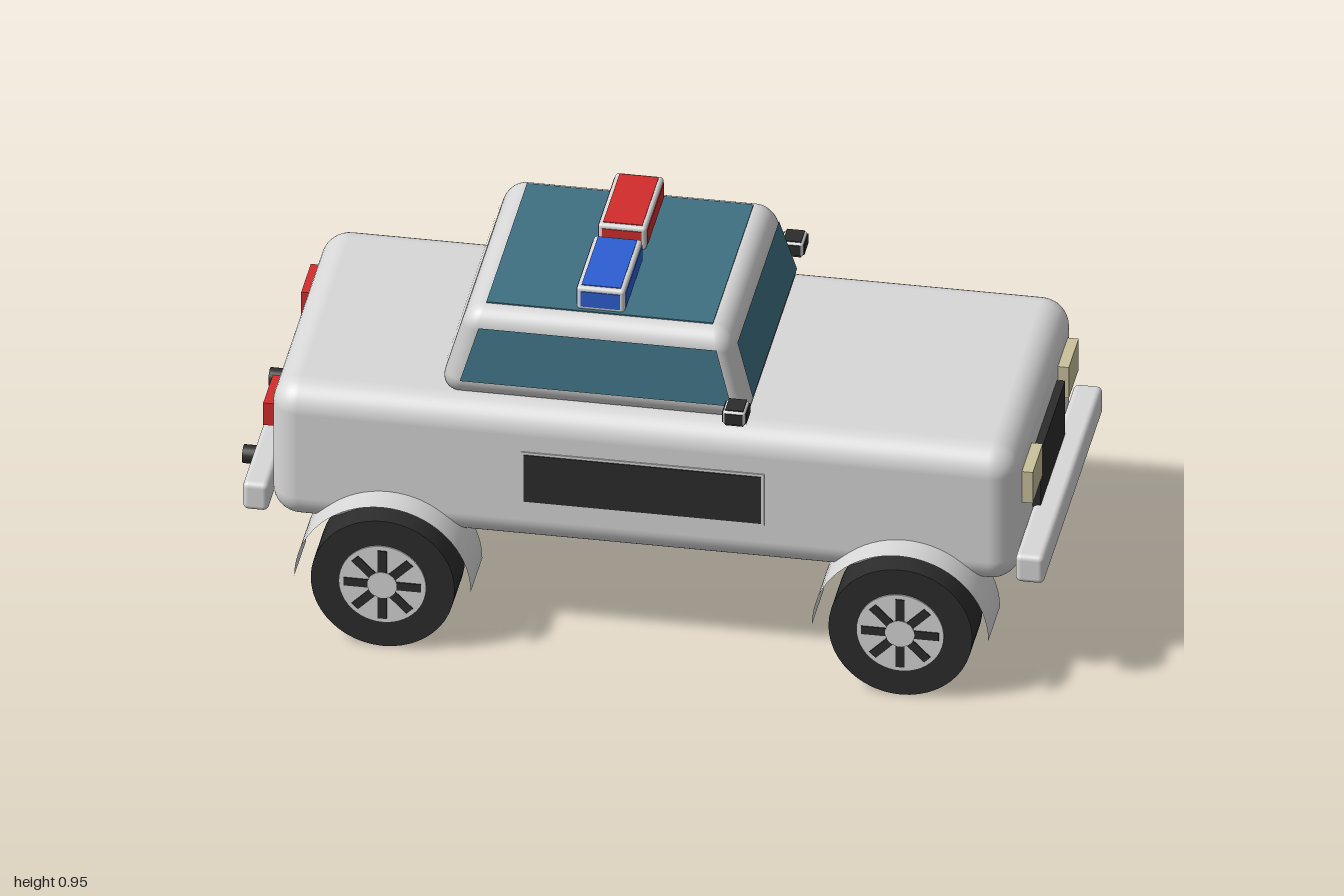
import * as THREE from 'three';
import { RoundedBoxGeometry } from 'three/addons/geometries/RoundedBoxGeometry.js';

const mat = (name, color, side = THREE.FrontSide) => {
  const m = new THREE.MeshStandardMaterial({ color, side });
  m.name = name;
  return m;
};

export function createModel() {
  const paint = mat('paint', 0xd8d8d8, THREE.DoubleSide);
  const dark = mat('dark', 0x2c2c2c);
  const glass = mat('glass', 0x3f7083, THREE.DoubleSide);
  const cream = mat('headlightCream', 0xcbc29c);
  const red = mat('red', 0xd42c2c);
  const blue = mat('blue', 0x2c5fd4);

  const car = new THREE.Group();
  car.name = 'patrolCar';

  const add = (name, geo, m, parent = car) => {
    const mesh = new THREE.Mesh(geo, m);
    mesh.name = name;
    parent.add(mesh);
    return mesh;
  };
  // Boxes are given by their limits on each axis
  const box = (name, [x0, x1], [y0, y1], [z0, z1], m, r = 0, parent = car) => {
    const s = [x1 - x0, y1 - y0, z1 - z0];
    const geo = r ? new RoundedBoxGeometry(...s, 5, r) : new THREE.BoxGeometry(...s);
    const mesh = add(name, geo, m, parent);
    mesh.position.set((x0 + x1) / 2, (y0 + y1) / 2, (z0 + z1) / 2);
    return mesh;
  };
  // Rounded casing with a coloured panel inset on every face
  const framedBox = (name, center, size, margin, m) => {
    const g = new THREE.Group();
    g.name = name;
    g.position.set(...center);
    add('casing', new RoundedBoxGeometry(...size, 3, 0.009), paint, g);
    for (let axis = 0; axis < 3; axis++) {
      const s = size.map((v, i) => (i === axis ? v + 0.004 : v - 2 * margin));
      add('panel', new THREE.BoxGeometry(...s), m, g);
    }
    car.add(g);
  };

  // Body
  box('body', [-0.9, 0.93], [0.28, 0.655], [-0.395, 0.395], paint, 0.07);

  // Tapered cabin
  const cx = -0.11;
  const halfX = y => 0.38 - 0.29 * (y - 0.68);
  const halfZ = y => 0.349 - 0.15 * (y - 0.68);
  const cabinGeo = new RoundedBoxGeometry(2, 0.23, 2, 6, 0.05);
  const ref = new RoundedBoxGeometry(0.76, 0.23, 0.698, 6, 0.05);
  const p = ref.attributes.position;
  for (let i = 0; i < p.count; i++) {
    const y = p.getY(i) + 0.765;
    p.setXYZ(i, cx + p.getX(i) * halfX(y) / 0.38, y, p.getZ(i) * halfZ(y) / 0.349);
  }
  cabinGeo.dispose();
  ref.computeBoundingSphere();
  add('cabin', ref, paint);

  // Windows lie on the sloping cabin faces
  const pane = (name, corners) => {
    const geo = new THREE.BufferGeometry();
    geo.setAttribute('position', new THREE.Float32BufferAttribute(corners.flat(), 3));
    geo.setIndex([0, 1, 2, 0, 2, 3]);
    geo.computeVertexNormals();
    add(name, geo, glass);
  };
  const lo = 0.697, hi = 0.838, gap = 0.004;
  for (const s of [1, -1]) {
    const side = [[-0.44, lo], [0.225, lo], [0.185, hi], [-0.398, hi]]
      .map(([x, y]) => [x, y, s * (halfZ(y) + gap)]);
    pane('sideWindow', s > 0 ? side : side.reverse());
    const end = [[0.302, lo], [-0.302, lo], [-0.284, hi], [0.284, hi]]
      .map(([z, y]) => [cx + s * (halfX(y) + gap), y, z]);
    pane(s > 0 ? 'windscreen' : 'rearWindow', s > 0 ? end : end.reverse());
  }
  box('roofPanel', [-0.388, 0.167], [0.876, 0.883], [-0.277, 0.277], glass);

  // Roof lights
  framedBox('blueRoofLight', [-0.11, 0.912, 0.147], [0.118, 0.064, 0.246], 0.011, blue);
  framedBox('redRoofLight', [-0.11, 0.912, -0.147], [0.118, 0.064, 0.246], 0.011, red);

  // Front and rear fittings
  box('grille', [0.9, 0.95], [0.38, 0.535], [-0.167, 0.167], dark);
  box('frontBumper', [0.93, 1], [0.308, 0.385], [-0.405, 0.405], paint, 0.014);
  box('rearBumper', [-0.963, -0.9], [0.308, 0.385], [-0.405, 0.405], paint, 0.014);

  for (const s of [1, -1]) {
    const span = (a, b) => (s > 0 ? [a, b] : [-b, -a]);
    box('headlight', [0.9, 0.957], [0.48, 0.567], span(0.178, 0.313), cream);
    box('tailLight', [-0.926, -0.87], [0.505, 0.567], span(0.193, 0.325), red);
    box('sidePanelFrame', [-0.282, 0.314], [0.397, 0.542], span(0.39, 0.398), paint);
    box('sidePanel', [-0.275, 0.307], [0.404, 0.535], span(0.39, 0.401), dark);
    framedBox('mirror', [0.245, 0.71, s * 0.396], [0.056, 0.04, 0.066], 0.006, dark);

    // Exhaust pipe
    const pipe = add('exhaust', new THREE.CylinderGeometry(0.023, 0.023, 0.14, 20), dark);
    pipe.rotation.z = Math.PI / 2;
    pipe.position.set(-0.93, 0.328, s * 0.18);

    for (const x of [-0.608, 0.66]) {
      // Wheel with rims on both faces and dark spokes
      const wheel = new THREE.Group();
      wheel.name = 'wheel';
      wheel.position.set(x, 0.176, s * 0.396);
      car.add(wheel);
      const disc = (name, r, w, m) => {
        add(name, new THREE.CylinderGeometry(r, r, w, 48), m, wheel).rotation.x = Math.PI / 2;
      };
      disc('tyre', 0.176, 0.142, dark);
      disc('rim', 0.107, 0.15, paint);
      for (let i = 0; i < 4; i++) {
        add('spokes', new THREE.BoxGeometry(0.19, 0.022, 0.156), dark, wheel).rotation.z = i * Math.PI / 4;
      }
      disc('hub', 0.036, 0.158, paint);

      // Open half-round wheel arch
      const arch = add('wheelArch',
        new THREE.CylinderGeometry(0.216, 0.216, 0.16, 32, 1, true, Math.PI / 2, Math.PI), paint);
      arch.rotation.x = Math.PI / 2;
      arch.position.set(x, 0.177, s * 0.39);
    }
  }
  return car;
}
